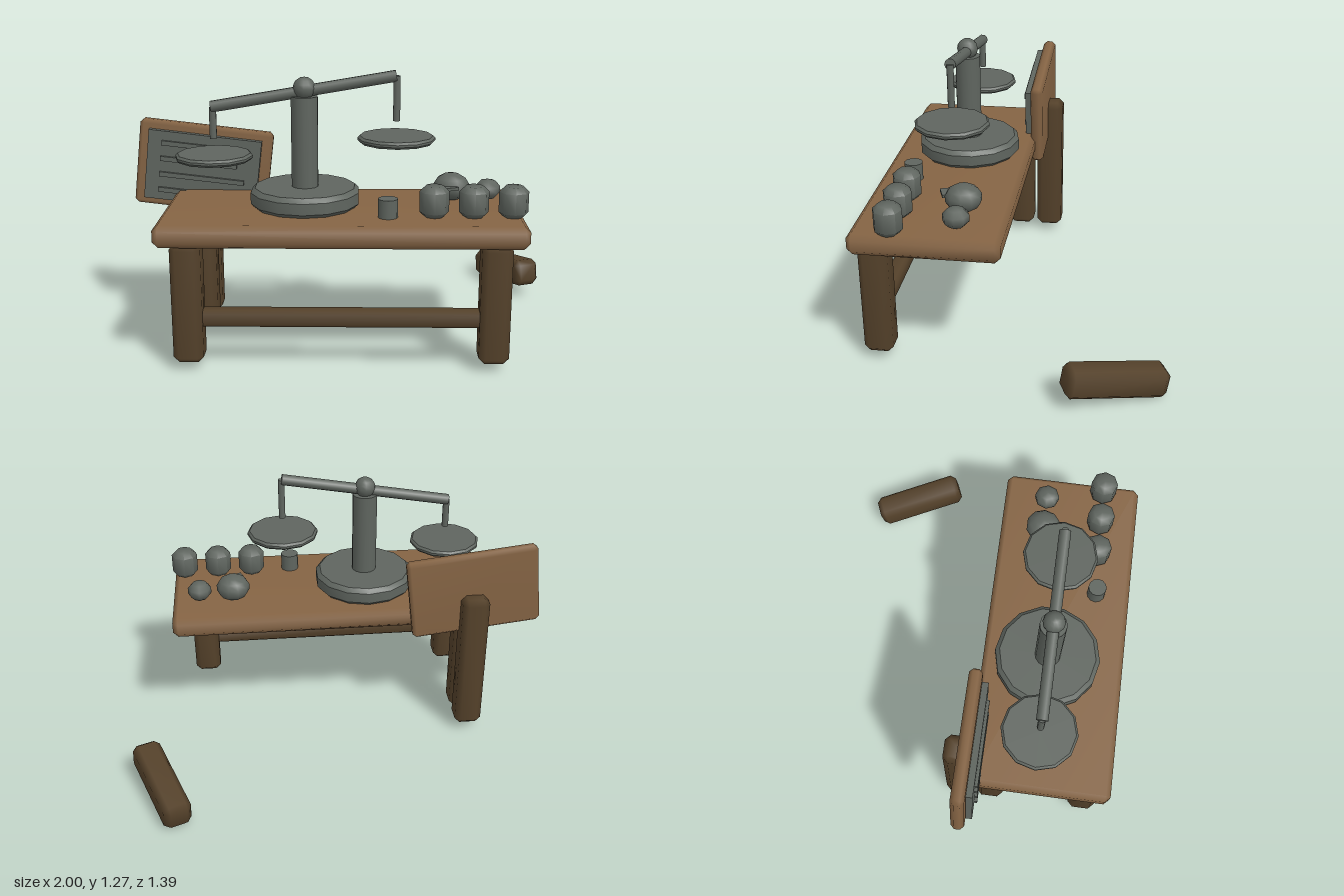
import * as THREE from 'three';
import { mergeVertices, toCreasedNormals } from 'three/addons/utils/BufferGeometryUtils.js';
import { ConvexGeometry } from 'three/addons/geometries/ConvexGeometry.js';

const material = (name, color) => {
  const m = new THREE.MeshStandardMaterial({ color });
  m.name = name;
  return m;
};

// Box with one chamfer along every edge and softened normals
function chamferBox(w, h, d, b) {
  const half = [w / 2, h / 2, d / 2], points = [];
  for (const sx of [-1, 1]) for (const sy of [-1, 1]) for (const sz of [-1, 1]) {
    for (let axis = 0; axis < 3; axis++) {
      const p = half.map((v, i) => (i === axis ? v : v - b));
      points.push(new THREE.Vector3(sx * p[0], sy * p[1], sz * p[2]));
    }
  }
  let geo = new ConvexGeometry(points);
  geo.deleteAttribute('normal');
  geo = mergeVertices(geo, 1e-5);
  geo.computeVertexNormals();
  return geo;
}

// Upright disc or drum with chamfered rims, standing on y = 0
function chamferDrum(r, h, b, sides, crease = 0.6) {
  const profile = [[0, 0], [r - b, 0], [r, b], [r, h - b], [r - b, h], [0, h]];
  const geo = new THREE.LatheGeometry(profile.map(([x, y]) => new THREE.Vector2(x, y)), sides);
  return toCreasedNormals(geo, crease);
}

export function createModel() {
  const model = new THREE.Group();
  model.name = 'marketTable';
  const plank = material('plank brown', 0x856444);
  const timber = material('dark timber', 0x54412a);
  const metal = material('grey metal', 0x5f655f);

  function add(name, geo, mat, x, y, z, parent = model) {
    const mesh = new THREE.Mesh(geo, mat);
    mesh.name = name;
    mesh.position.set(x, y, z);
    parent.add(mesh);
    return mesh;
  }

  // Round rod between two points
  function rod(name, a, b, r) {
    const from = new THREE.Vector3(...a), to = new THREE.Vector3(...b);
    const dir = to.clone().sub(from);
    const mid = from.add(to).multiplyScalar(0.5);
    const mesh = add(name, new THREE.CylinderGeometry(r, r, dir.length(), 10), metal, mid.x, mid.y, mid.z);
    mesh.quaternion.setFromUnitVectors(new THREE.Vector3(0, 1, 0), dir.normalize());
  }

  // Table with three standing legs and a front stretcher
  add('tableTop', chamferBox(1.585, 0.1, 0.66, 0.025), plank, -0.005, 0.62, 0.36);
  const leg = chamferBox(0.132, 0.54, 0.132, 0.026);
  add('frontRightLeg', leg, timber, -0.667, 0.31, 0.6);
  add('frontLeftLeg', leg, timber, 0.657, 0.31, 0.6);
  add('backRightLeg', leg, timber, -0.667, 0.31, 0.135);
  add('stretcher', chamferBox(1.24, 0.075, 0.075, 0.015), timber, -0.005, 0.238, 0.6);

  // Broken leg lying behind the table
  const fallen = add('fallenLeg', chamferBox(0.132, 0.132, 0.46, 0.026), timber, 0.86, 0.102, -0.468);
  fallen.rotation.order = 'YXZ';
  fallen.rotation.set(-0.17, 0.39, 0);

  // Tilted notice board on its post
  add('signPost', chamferBox(0.132, 0.72, 0.132, 0.026), timber, -0.667, 0.4, -0.019);
  const sign = new THREE.Group();
  sign.name = 'noticeBoard';
  sign.position.set(-0.667, 0.766, 0.02);
  sign.rotation.z = -0.115;
  model.add(sign);
  add('board', chamferBox(0.63, 0.41, 0.062, 0.018), plank, 0, 0, 0, sign);
  add('slate', new THREE.BoxGeometry(0.53, 0.33, 0.03), metal, 0, 0, 0.047, sign);
  for (let i = 0; i < 4; i++) {
    const w = i % 2 ? 0.36 : 0.4;
    add('slateLine', new THREE.BoxGeometry(w, 0.022, 0.016), metal, (w - 0.4) / 2, 0.11 - i * 0.075, 0.068, sign);
  }

  // Balance scale: base, column, pivot, beam, hangers and pans
  const sx = -0.17, sz = 0.33;
  add('scaleBase', chamferDrum(0.245, 0.09, 0.02, 14), metal, sx, 0.667, sz);
  add('scaleColumn', new THREE.CylinderGeometry(0.06, 0.06, 0.42, 14), metal, sx, 0.95, sz);
  add('scalePivot', new THREE.SphereGeometry(0.05, 12, 8), metal, sx, 1.195, sz);
  rod('scaleBeam', [-0.58, 1.112, sz], [0.232, 1.25, sz], 0.026);
  for (const [x, top, bottom, pan] of [[-0.573, 1.11, 0.97, 0.875], [0.234, 1.25, 1.052, 0.957]]) {
    rod('panHanger', [x, bottom, sz], [x, top, sz], 0.016);
    add('scalePan', chamferDrum(0.172, 0.03, 0.01, 12), metal, x, pan, sz);
  }

  // Small weight and a row of jars
  add('weight', new THREE.CylinderGeometry(0.043, 0.043, 0.085, 12), metal, 0.195, 0.71, 0.528);
  for (let i = 0; i < 3; i++) {
    add('jar', chamferDrum(0.064, 0.138, 0.024, 8, 0.9), metal, 0.394 + i * 0.17, 0.667, 0.51);
  }

  // Two rounded goods behind the jars, the larger with a stub of stem
  const large = add('largeLump', new THREE.SphereGeometry(1, 10, 7), metal, 0.49, 0.732, 0.235);
  large.scale.set(0.082, 0.063, 0.084);
  const small = add('smallLump', new THREE.SphereGeometry(1, 8, 5), metal, 0.655, 0.72, 0.237);
  small.scale.set(0.06, 0.048, 0.062);
  const stem = add('stem', new THREE.BoxGeometry(0.07, 0.014, 0.05), metal, 0.475, 0.742, 0.312);
  stem.rotation.y = 0.35;

  return model;
}
